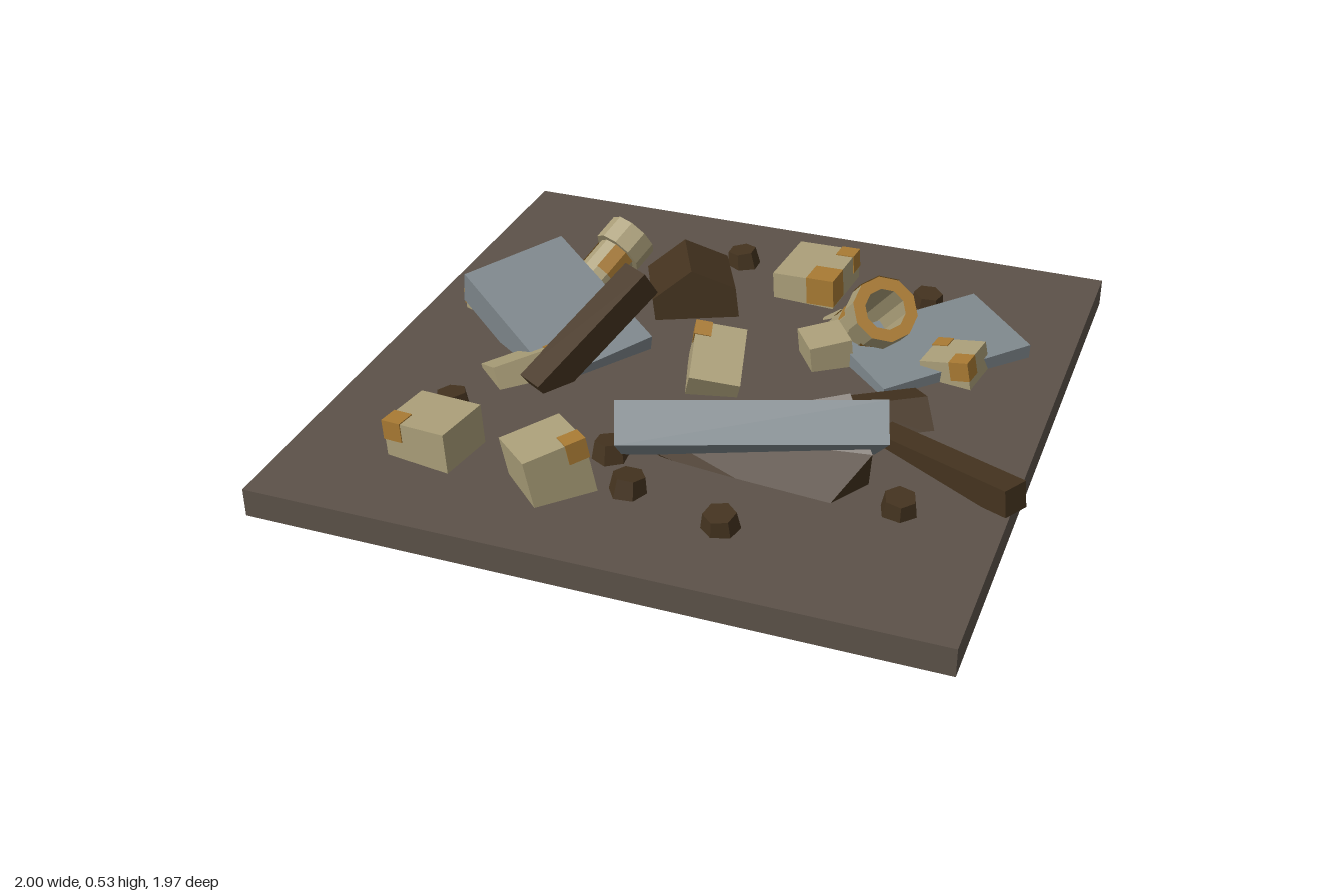
import * as THREE from 'three';
import { ConvexGeometry } from 'three/addons/geometries/ConvexGeometry.js';

const flat = (name, color) => {
  const m = new THREE.MeshStandardMaterial({ color, flatShading: true, side: THREE.DoubleSide });
  m.name = name;
  return m;
};

export function createModel() {
  const root = new THREE.Group();
  root.name = 'rubblePile';
  const earth = flat('earth', 0x5c5249);
  const stone = flat('greyStone', 0x7f888d);
  const wood = flat('darkWood', 0x44331f);
  const cream = flat('cream', 0xab9f79);
  const rust = flat('rust', 0xa87a33);

  const add = (name, geometry, material, pos = [0, 0, 0], [yaw, pitch, roll] = [0, 0, 0], parent = root) => {
    const mesh = new THREE.Mesh(geometry, material);
    mesh.name = name;
    mesh.position.set(...pos);
    mesh.rotation.set(pitch, yaw, roll, 'YXZ');
    parent.add(mesh);
    return mesh;
  };
  const box = (name, material, size, pos, turn) =>
    add(name, new THREE.BoxGeometry(...size), material, pos, turn);

  // Ground plate
  box('groundPlate', earth, [1.97, 0.085, 1.97], [-0.015, 0.1425, -0.005]);

  // Fallen stone slabs
  box('largeSlab', stone, [0.70, 0.115, 0.50], [0.267, 0.345, 0.468], [0.35, -0.64, 0]);
  box('leftSlab', stone, [0.51, 0.11, 0.35], [-0.545, 0.24, -0.08], [-0.6, 0.08, -0.28]);
  box('rightSlab', stone, [0.31, 0.08, 0.51], [0.56, 0.195, -0.35], [-0.76, 0.03, -0.08]);

  // Wooden planks
  box('raisedPlank', wood, [0.095, 0.09, 0.46], [-0.375, 0.295, 0.06], [-0.55, 0.55, 0]);
  box('lowPlank', wood, [0.5, 0.08, 0.08], [0.765, 0.205, 0.265], [-0.53, 0, 0.12]);

  // Six-sided logs
  const log = (name, r, length, pos, turn) => {
    const g = new THREE.CylinderGeometry(r, r, length, 6).rotateX(Math.PI / 2);
    add(name, g, wood, pos, turn);
  };
  log('backLog', 0.15, 0.29, [-0.235, 0.175, -0.445], [0.43, -0.12, 0.1]);
  log('sideLog', 0.115, 0.23, [0.53, 0.14, 0.04], [2.13, 0, 0.2]);

  // Broken wedge pushed through the large slab
  const wedge = [
    [0.5, 0.42, 0.32], [-0.05, 0.25, 0.42], [0.6, 0.32, 0.44], [0, 0.19, 0.45], [0.2, 0.13, 0.47],
    [0.47, 0.13, 0.53], [0.57, 0.13, 0.36], [0.5, 0.13, 0.32], [-0.05, 0.13, 0.41],
  ].map((p) => new THREE.Vector3(...p));
  add('brokenWedge', new ConvexGeometry(wedge), wood);

  // Small nuggets
  [[-0.16, -0.71], [0.48, -0.63], [-0.655, 0.41], [0.69, 0.48], [-0.13, 0.49], [0.27, 0.71], [-0.02, 0.63]]
    .forEach(([x, z], i) => {
      add('nugget', new THREE.CylinderGeometry(0.045, 0.056, 0.065, 6), wood,
        [x, 0.203, z], [i * 0.8, 0.12 * Math.sin(i * 2), 0.12 * Math.cos(i * 2)]);
    });

  // Cream blocks with rusty corners: [size, position, turn, [corner signs, stain size]...]
  const blocks = [
    [[0.2, 0.17, 0.24], [0.115, 0.19, -0.64], [-0.07, 0, 0.05], [[1, 1, -1], 0.06], [[1, 1, 1], 0.09]],
    [[0.15, 0.17, 0.2], [0, 0.22, 0.01], [0.22, 0.45, -0.2], [[-1, 1, -1], 0.05]],
    [[0.2, 0.19, 0.18], [-0.6, 0.205, 0.62], [-0.15, 0, 0.06], [[-1, 1, 1], 0.06]],
    [[0.18, 0.2, 0.18], [-0.235, 0.225, 0.665], [-0.75, 0.15, 0.12], [[1, 1, -1], 0.06]],
    [[0.13, 0.13, 0.24], [-0.53, 0.175, 0.15], [-0.75, 0.1, 0.4], [[1, 1, -1], 0.07]],
    [[0.2, 0.13, 0.15], [-0.76, 0.19, -0.17], [-0.35, 0, 0.05], [[-1, 1, 1], 0.05]],
    [[0.13, 0.14, 0.13], [0.275, 0.2, -0.215], [0.6, 0, 0.1]],
    [[0.15, 0.13, 0.15], [0.66, 0.19, -0.27], [-0.15, 0, 0.2], [[1, 1, 1], 0.06], [[-1, 1, -1], 0.05]],
  ];
  for (const [size, pos, turn, ...stains] of blocks) {
    const block = box('creamBlock', cream, size, pos, turn);
    for (const [signs, s] of stains) {
      const at = signs.map((k, i) => k * (size[i] / 2 + 0.003 - s / 2));
      add('rustStain', new THREE.BoxGeometry(s, s, s), rust, at, [0, 0, 0], block);
    }
  }

  // Hollow pipes with a collar at each end
  const pipe = (name, from, to, r, collar, rimMat, boreMat) => {
    const a = new THREE.Vector3(...from);
    const dir = new THREE.Vector3(...to).sub(a);
    const len = dir.length();
    const group = new THREE.Group();
    group.name = name;
    group.position.copy(a);
    group.quaternion.setFromUnitVectors(new THREE.Vector3(0, 1, 0), dir.normalize());
    root.add(group);
    const lathe = (part, mat, pts) => add(part, new THREE.LatheGeometry(
      pts.map((p) => new THREE.Vector2(...p)), 10), mat, [0, 0, 0], [0, 0, 0], group);
    const c = 0.085;
    const bore = r * 0.78;
    lathe('pipeWall', cream, [[bore, 0], [collar, 0], [collar, c * 0.7], [r, c * 0.7],
      [r, len - c], [collar, len - c], [collar, len]]);
    lathe('pipeRim', rimMat, [[collar, len], [bore, len]]);
    lathe('pipeBore', boreMat, [[bore, len], [bore, 0]]);
    // Curved rust patches: radius, height, centre height, start facet, facet count
    const step = Math.PI / 5;
    [[r, 0.1, len * 0.62, 0, 2], [r, 0.07, len * 0.35, 4, 3], [r, 0.08, len * 0.6, 7, 1],
      [collar, c * 0.7, c * 0.35, 1, 3], [collar, c, len - c / 2, 5, 2]].forEach(([pr, h, y, start, n]) => {
      add('rustPatch', new THREE.CylinderGeometry(pr + 0.003, pr + 0.003, h, n, 1, true, start * step, n * step),
        rust, [0, y, 0], [0, 0, 0], group);
    });
  };
  pipe('smallPipe', [-0.635, 0.105, -0.35], [-0.51, 0.275, -0.62], 0.065, 0.085, cream, rust);
  pipe('largePipe', [0.25, 0.09, -0.47], [0.45, 0.385, -0.22], 0.08, 0.1, rust, cream);

  return root;
}
